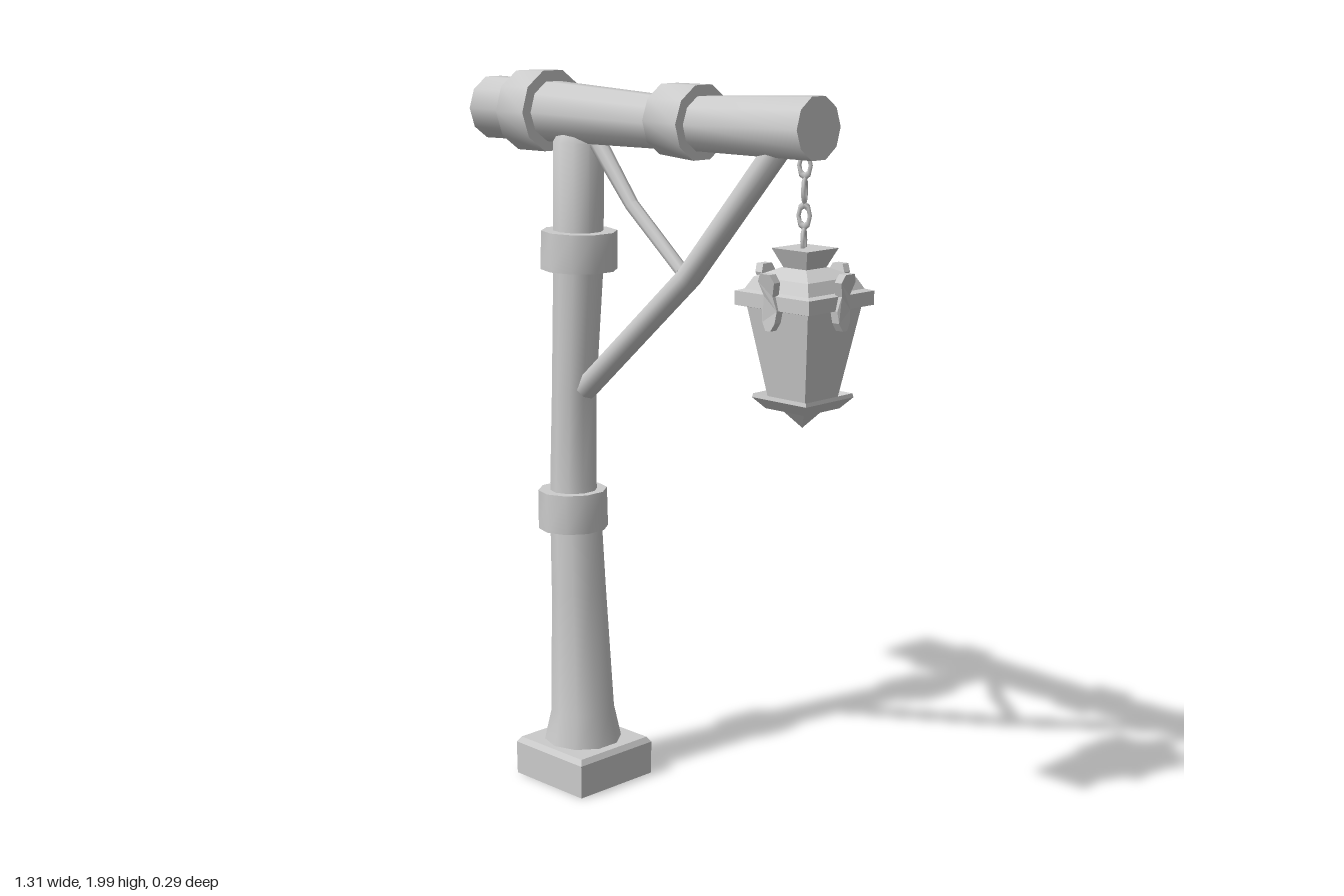
import * as THREE from 'three';
import { toCreasedNormals } from 'three/addons/utils/BufferGeometryUtils.js';

const smooth = new THREE.MeshStandardMaterial({ color: 0xcccccc, side: THREE.DoubleSide });
const flat = new THREE.MeshStandardMaterial({ color: 0xcccccc, side: THREE.DoubleSide, flatShading: true });

function add(parent, name, geometry, material) {
  const mesh = new THREE.Mesh(geometry, material);
  mesh.name = name;
  parent.add(mesh);
  return mesh;
}

// Round timber through sections [x, y, radius] lying in the xy plane
function timber(sections, sides = 10, open = false) {
  const last = sections.length - 1;
  const geo = new THREE.CylinderGeometry(1, 1, 1, sides, last, open);
  const pos = geo.attributes.position;
  for (let i = 0; i < pos.count; i++) {
    const k = Math.round((pos.getY(i) + 0.5) * last);
    const [cx, cy, r] = sections[k];
    const a = sections[Math.max(k - 1, 0)], b = sections[Math.min(k + 1, last)];
    const len = Math.hypot(b[0] - a[0], b[1] - a[1]);
    const tx = (b[0] - a[0]) / len, ty = (b[1] - a[1]) / len;
    const x = pos.getX(i) * r;
    pos.setXYZ(i, cx + x * ty, cy - x * tx, pos.getZ(i) * r);
  }
  return toCreasedNormals(geo, 0.8);
}

// Square stack from a profile of [half width, y], listed bottom to top
function squareStack(profile) {
  const points = profile.map(([h, y]) => new THREE.Vector2(h * Math.SQRT2, y));
  return new THREE.LatheGeometry(points, 4, Math.PI / 4);
}

// Leaf-shaped clip, bent outwards at the top and bottom
function clipGeometry() {
  const half = [[0.008, 1.41], [0.02, 1.43], [0.024, 1.46], [0.014, 1.495], [0.026, 1.53], [0.016, 1.55]];
  const outline = [
    ...half.map(([x, y]) => new THREE.Vector2(x, y)),
    ...half.slice().reverse().map(([x, y]) => new THREE.Vector2(-x, y)),
  ];
  const geo = new THREE.ExtrudeGeometry(new THREE.Shape(outline), { depth: 0.022, bevelEnabled: false });
  const pos = geo.attributes.position;
  for (let i = 0; i < pos.count; i++) {
    const d = pos.getY(i) - 1.47;
    pos.setZ(i, pos.getZ(i) + 0.104 + (d > 0 ? 0.24 * d : -0.1 * d));
  }
  return geo;
}

function createLantern() {
  const lantern = new THREE.Group();
  lantern.name = 'lantern';
  add(lantern, 'lanternBody', squareStack([[0.06, 1.22], [0.1, 1.46]]), flat);
  add(lantern, 'lanternRoof', squareStack([
    [0.1, 1.455], [0.121, 1.46], [0.121, 1.495], [0.104, 1.5], [0.088, 1.53], [0.04, 1.553],
  ]), flat);
  add(lantern, 'lanternCap', squareStack([[0.036, 1.55], [0.058, 1.6], [0, 1.6]]), flat);
  add(lantern, 'lanternFoot', squareStack([
    [0, 1.15], [0.04, 1.2], [0.065, 1.2], [0.089, 1.228], [0.087, 1.238], [0.055, 1.225],
  ]), flat);
  const clip = clipGeometry();
  for (let i = 0; i < 4; i++) {
    add(lantern, 'roofClip', clip, flat).rotation.y = i * Math.PI / 2;
  }
  // Hanging chain of alternating links
  const link = new THREE.TorusGeometry(0.014, 0.0055, 5, 8).scale(1, 1.9, 1);
  for (let i = 0; i < 4; i++) {
    const mesh = add(lantern, 'chainLink', link, smooth);
    mesh.position.set(-0.005, 1.8 - i * 0.061, 0);
    mesh.rotation.y = 0.5 + i * Math.PI / 2;
  }
  lantern.position.set(0.505, 0, -0.003);
  return lantern;
}

export function createModel() {
  const model = new THREE.Group();
  model.name = 'lanternPost';

  // Hollow plinth, open underneath
  const base = add(model, 'base', squareStack([
    [0.136, 0], [0.137, 0.095], [0.127, 0.11], [0.07, 0.11],
  ]), flat);
  base.position.x = -0.306;

  // Gently bowed post
  add(model, 'post', timber([
    [-0.31, 0.1, 0.112], [-0.31, 0.2, 0.09], [-0.322, 0.55, 0.077], [-0.33, 0.73, 0.073],
    [-0.341, 0.86, 0.065], [-0.334, 1.12, 0.062], [-0.312, 1.47, 0.069],
    [-0.306, 1.81, 0.069], [-0.308, 1.85, 0.045],
  ], 10, true), smooth);
  add(model, 'lowerPostBand', timber([[-0.342, 0.73, 0.098], [-0.344, 0.84, 0.097]]), smooth);
  add(model, 'upperPostBand', timber([[-0.309, 1.465, 0.106], [-0.307, 1.57, 0.104]]), smooth);

  // Crossbeam, slimmer in the middle
  add(model, 'beam', timber([
    [-0.655, 1.885, 0.088], [-0.42, 1.885, 0.084], [0, 1.878, 0.071], [0.16, 1.882, 0.072], [0.545, 1.891, 0.08],
  ]), smooth);
  add(model, 'leftBeamBand', timber([[-0.515, 1.884, 0.112], [-0.405, 1.886, 0.113]]), smooth);
  add(model, 'rightBeamBand', timber([[0.035, 1.888, 0.094], [0.158, 1.884, 0.099]]), smooth);

  // Diagonal braces
  add(model, 'longBrace', timber([
    [-0.285, 1.135, 0.034], [0.11, 1.485, 0.034], [0.415, 1.835, 0.034],
  ], 8), smooth);
  add(model, 'shortBrace', timber([
    [-0.255, 1.84, 0.025], [-0.1, 1.655, 0.019], [0.085, 1.5, 0.018],
  ], 8), smooth);

  model.add(createLantern());
  return model;
}
